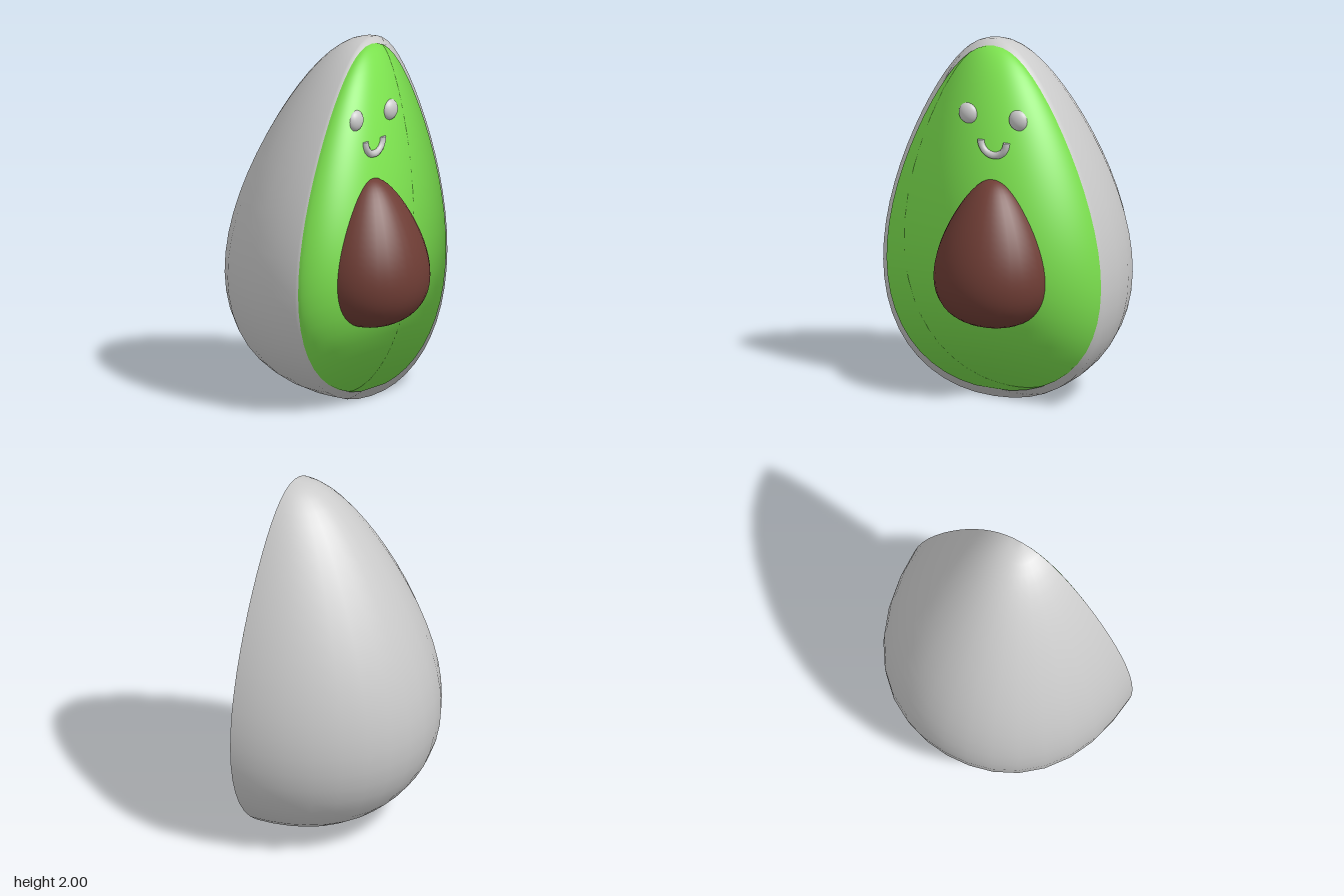
import * as THREE from 'three';

const FACE_Z = 0.25;

// Egg outline from bottom to top: narrow upwards, slightly blunt at the ends
function eggOutline(width, bottom, top, steps = 28) {
  const points = [];
  for (let i = 0; i <= steps; i++) {
    const angle = Math.PI * (1 - i / steps);
    const c = Math.cos(angle);
    const r = 0.942 * Math.sin(angle) ** 0.93 * (1 - 0.366 * c);
    points.push(new THREE.Vector2(width * r, (top + bottom) / 2 + c * (top - bottom) / 2));
  }
  return points;
}

// Egg with slightly squared cross-sections, cut flat at zMax
function eggGeometry({ width, depth, bottom, top, segments, from, sweep, zMax = Infinity }) {
  const geometry = new THREE.LatheGeometry(eggOutline(width, bottom, top), segments, from, sweep);
  geometry.scale(1, 1, depth / width);
  const position = geometry.attributes.position;
  for (let i = 0; i < position.count; i++) {
    const x = position.getX(i);
    const z = position.getZ(i);
    const phi = Math.atan2(z / depth, x / width);
    const full = 1 + 0.03 * Math.sin(2 * phi) ** 2;
    // The cut part keeps the outline, so its front stays inside the rim
    if (z > zMax) position.setZ(i, zMax);
    else position.setXYZ(i, x * full, position.getY(i), z * full);
  }
  return geometry;
}

export function createModel() {
  const model = new THREE.Group();
  const grey = new THREE.MeshStandardMaterial({ color: 0xcccccc });
  const green = new THREE.MeshStandardMaterial({ color: 0x7be04e });
  const brown = new THREE.MeshStandardMaterial({ color: 0x6f3d35 });

  function add(name, geometry, material, x = 0, y = 0, z = FACE_Z) {
    const mesh = new THREE.Mesh(geometry, material);
    mesh.name = name;
    mesh.position.set(x, y, z);
    model.add(mesh);
    return mesh;
  }

  // Rounded skin with its flat cut face
  add('skin', eggGeometry({
    width: 0.696, depth: 0.805, bottom: 0.005, top: 2,
    segments: 32, from: Math.PI / 2, sweep: Math.PI * 2, zMax: 0,
  }), grey);

  // Thin slab of flesh, slightly inside the rim
  add('flesh', eggGeometry({
    width: 0.668, depth: 0.77, bottom: 0.047, top: 1.958,
    segments: 64, from: -Math.PI / 2, sweep: Math.PI, zMax: 0.013,
  }), green);

  // Half stone, a smaller egg
  add('stone', eggGeometry({
    width: 0.327, depth: 0.302, bottom: 0.398, top: 1.215,
    segments: 16, from: -Math.PI / 2, sweep: Math.PI,
  }), brown);

  // Eyes
  for (const side of [-1, 1]) {
    const eye = add(side > 0 ? 'leftEye' : 'rightEye', new THREE.SphereGeometry(0.058, 24, 16),
      grey, side * 0.157, 1.565, 0.257);
    eye.scale.z = 0.65;
  }

  // Smiling mouth with closed ends
  const smile = new THREE.Group();
  smile.name = 'mouth';
  smile.position.set(0.005, 1.43, 0.264);
  smile.rotation.z = Math.PI;
  const lip = new THREE.Mesh(new THREE.TorusGeometry(0.08, 0.02, 10, 20, Math.PI), grey);
  lip.name = 'lip';
  smile.add(lip);
  for (const side of [-1, 1]) {
    const end = new THREE.Mesh(new THREE.CircleGeometry(0.02, 10), grey);
    end.name = 'lipEnd';
    end.position.x = side * 0.08;
    end.rotation.x = Math.PI / 2;
    smile.add(end);
  }
  model.add(smile);
  return model;
}
